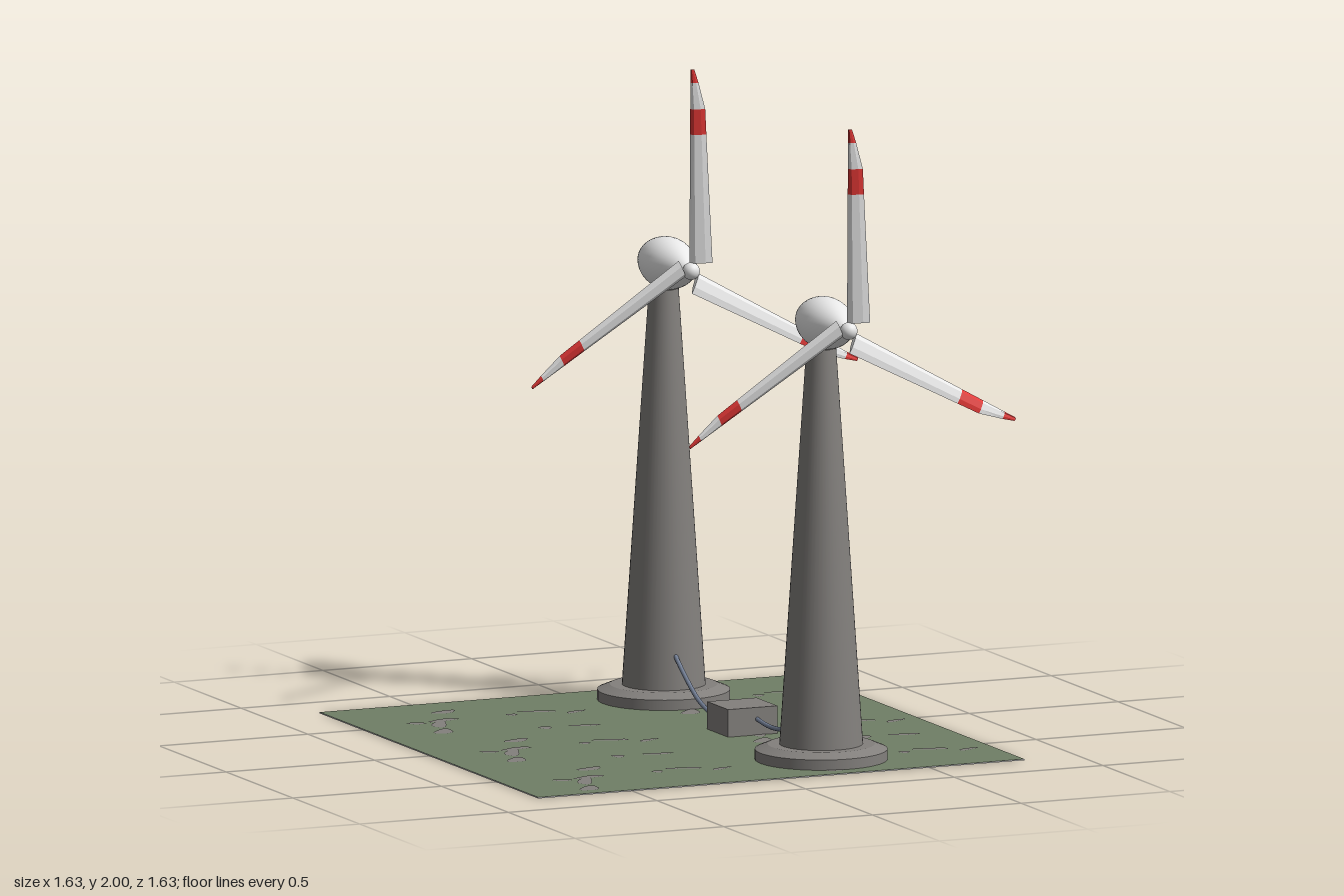
import * as THREE from 'three';

const mat = (name, color) => {
  const m = new THREE.MeshStandardMaterial({ color });
  m.name = name;
  return m;
};

export function createModel() {
  const white = mat('white paint', 0xe8e8e8);
  const red = mat('red paint', 0xe03634);
  const concrete = mat('concrete grey', 0x83807d);
  const grass = mat('grass green', 0x707f66);
  const underside = mat('underside grey', 0xcccccc);
  const cableBlue = mat('cable blue grey', 0x727e94);

  const model = new THREE.Group();
  model.name = 'windTurbines';

  const add = (parent, name, geometry, material, x = 0, y = 0, z = 0) => {
    const mesh = new THREE.Mesh(geometry, material);
    mesh.name = name;
    mesh.position.set(x, y, z);
    parent.add(mesh);
    return mesh;
  };
  const lathe = (pts, n) => new THREE.LatheGeometry(pts.map(p => new THREE.Vector2(...p)), n);

  // Ground slab with a green top
  const G = 0.004;
  add(model, 'ground', new THREE.BoxGeometry(1.635, G, 1.635),
    [underside, underside, grass, underside, underside, underside], 0, G / 2, 0);

  // Bare patches, repeated in tiles: [x, z, length, width, angle]
  const patches = [
    [-0.53, -0.53, 0.11, 0.035, 0.2], [-0.57, -0.47, 0.13, 0.045, 1.1], [-0.61, -0.35, 0.09, 0.055, 0.9],
    [-0.63, -0.51, 0.06, 0.03, -0.4], [-0.47, -0.66, 0.09, 0.045, 0.3], [-0.3, -0.53, 0.035, 0.035, 0],
    [-0.2, -0.55, 0.12, 0.025, -0.3], [-0.1, -0.5, 0.08, 0.025, 0.4], [-0.17, -0.27, 0.1, 0.025, -0.2],
    [-0.3, -0.28, 0.04, 0.045, 0],
  ];
  const bare = new THREE.Group();
  bare.name = 'barePatches';
  model.add(bare);
  for (const [x, z, len, wid, angle] of patches) {
    const pts = [];
    for (let i = 0; i < 14; i++) {
      const a = i / 14 * Math.PI * 2;
      const k = 0.5 * (1 + 0.15 * Math.sin(3 * a + x * 40));
      pts.push(new THREE.Vector2(Math.cos(a) * len * k, Math.sin(a) * wid * k));
    }
    const geo = new THREE.ShapeGeometry(new THREE.Shape(pts)).rotateZ(angle).rotateX(-Math.PI / 2);
    for (let i = 0; i < 2; i++) {
      for (let j = 0; j < 3; j++) {
        const pz = z + j * 0.545;
        if (pz < 0.78) add(bare, 'barePatch', geo, concrete, x + i * 0.83, G + 0.001, pz);
      }
    }
  }

  // Blade stations: height, left edge, right edge, thickness, forward lean
  const stations = [
    [0.025, -0.005, 0.066, 0.017, 0.000],
    [0.428, -0.005, 0.045, 0.013, 0.014],
    [0.508, -0.005, 0.041, 0.012, 0.017],
    [0.590, -0.005, 0.020, 0.009, 0.020],
    [0.632, -0.005, 0.007, 0.005, 0.021],
  ];
  const section = [[0, 0], [0.25, -0.5], [0.7, -0.4], [1, 0], [0.7, 0.4], [0.25, 0.5]];
  const pitch = 0.38;
  const ring = ([y, l, r, t, lean]) => section.map(([u, v]) => {
    const c = l + (r - l) * u, d = v * t;
    return [c * Math.cos(pitch) - d * Math.sin(pitch), y, c * Math.sin(pitch) + d * Math.cos(pitch) + lean];
  });
  const bladePiece = (s0, s1) => {
    const a = ring(s0), b = ring(s1), n = a.length, pos = [];
    const tri = (...p) => p.forEach(q => pos.push(...q));
    for (let i = 0; i < n; i++) {
      const j = (i + 1) % n;
      tri(a[i], b[i], a[j]);
      tri(a[j], b[i], b[j]);
      if (i > 0 && j > 0) {
        tri(a[0], a[i], a[j]);
        tri(b[0], b[j], b[i]);
      }
    }
    const geo = new THREE.BufferGeometry();
    geo.setAttribute('position', new THREE.Float32BufferAttribute(pos, 3));
    geo.computeVertexNormals();
    return geo;
  };
  const pieces = [0, 1, 2, 3].map(i => bladePiece(stations[i], stations[i + 1]));

  // Shared turbine geometry
  const footing = lathe([[0, 0], [0.204, 0], [0.204, 0], [0.204, 0.036], [0.204, 0.036],
    [0.165, 0.052], [0.165, 0.052], [0, 0.052]], 48);
  const tower = new THREE.CylinderGeometry(0.046, 0.129, 1.24, 48);
  const hullPts = [];
  for (let i = 0; i <= 24; i++) {
    const t = i / 24;
    const r = i % 24 ? 0.081 * Math.sin(Math.PI * t) ** 0.85 : 0;
    hullPts.push([r, (t - 0.5) * 0.358]);
  }
  const hull = lathe(hullPts, 32).rotateX(Math.PI / 2);

  const turbine = (name, x, z, hullX, hullZ) => {
    const g = new THREE.Group();
    g.name = name;
    add(g, 'footing', footing, concrete, x, 0, z);
    add(g, 'tower', tower, concrete, x, 0.665, z);
    add(g, 'nacelle', hull, white, hullX, 1.365, hullZ);
    const rotor = new THREE.Group();
    rotor.name = 'rotor';
    rotor.position.set(hullX, 1.368, hullZ + 0.178);
    add(rotor, 'hub', new THREE.SphereGeometry(0.027, 24, 16), white);
    for (let i = 0; i < 3; i++) {
      const blade = new THREE.Group();
      blade.name = 'blade';
      blade.rotation.z = 0.01 + i * Math.PI * 2 / 3;
      pieces.forEach((p, k) => add(blade, k % 2 ? 'bladeRedBand' : 'bladeBody', p, k % 2 ? red : white));
      rotor.add(blade);
    }
    g.add(rotor);
    model.add(g);
  };
  turbine('frontTurbine', 0.251, 0.558, 0.256, 0.575);
  turbine('backTurbine', 0.24, -0.596, 0.245, -0.58);

  // Junction box and sagging cables
  add(model, 'junctionBox', new THREE.BoxGeometry(0.166, 0.09, 0.157), concrete, 0.228, 0.045, 0.019);
  const cable = (name, pts) => {
    const curve = new THREE.CatmullRomCurve3(pts.map(p => new THREE.Vector3(...p)));
    add(model, name, new THREE.TubeGeometry(curve, 32, 0.007, 10), cableBlue);
  };
  cable('frontCable', [[0.242, 0.056, 0.08], [0.248, 0.043, 0.17], [0.253, 0.047, 0.26],
    [0.258, 0.075, 0.36], [0.262, 0.125, 0.45]]);
  cable('backCable', [[0.236, 0.03, -0.04], [0.234, 0.016, -0.12], [0.233, 0.015, -0.2],
    [0.231, 0.045, -0.31], [0.229, 0.098, -0.4], [0.227, 0.165, -0.49]]);

  return model;
}
